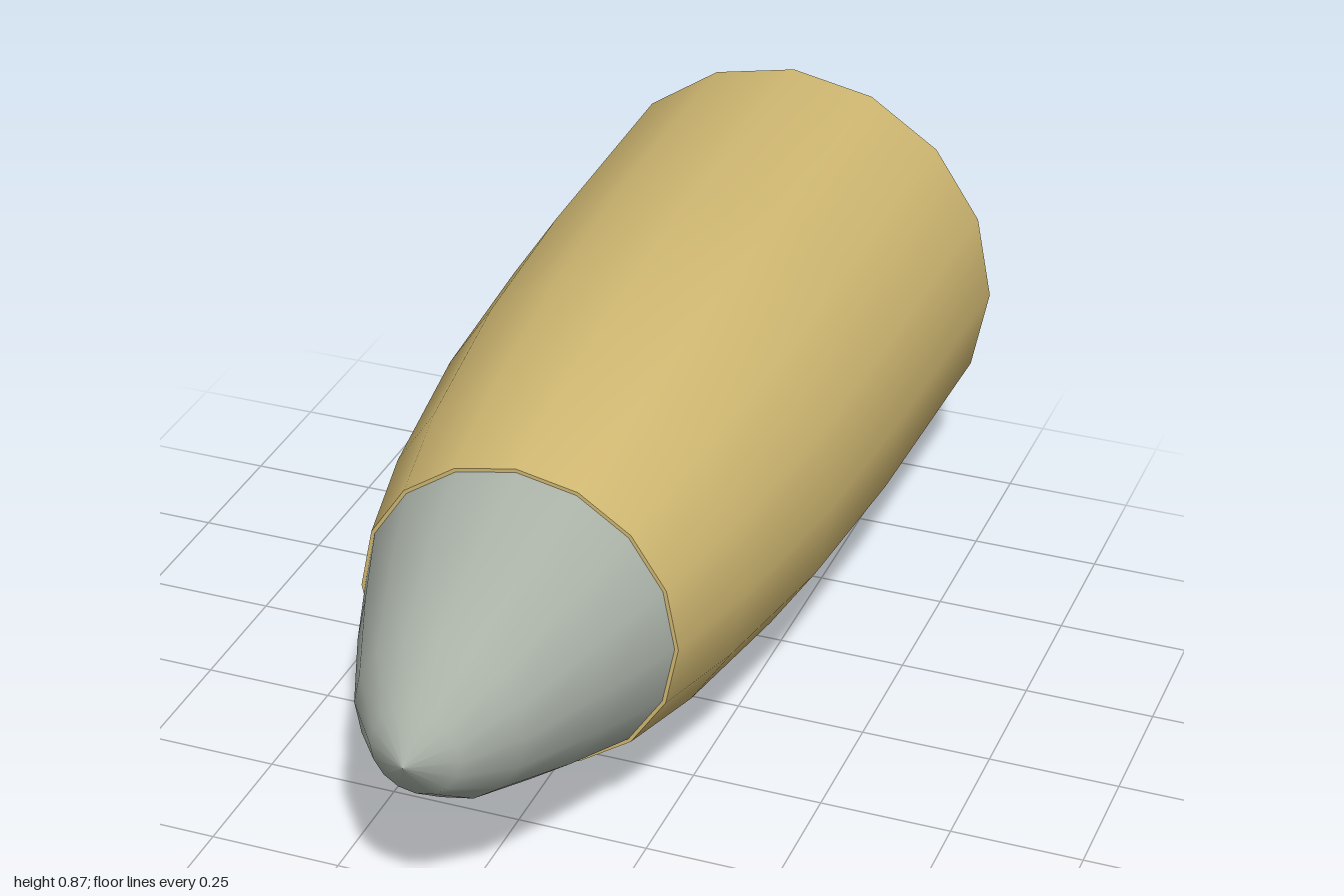
import * as THREE from 'three';

const SIDES = 16;
const AXIS_Y = 0.436;

export function createModel() {
  const group = new THREE.Group();
  group.name = 'bullet';

  const material = (name, color, side = THREE.FrontSide) =>
    Object.assign(new THREE.MeshStandardMaterial({ color, side }), { name });
  const brass = material('brass', 0xd0b872);
  const steel = material('grey steel', 0xa9b1a7);
  const brown = material('dark brown', 0x60492b);

  const add = (name, geometry, mat, z = 0) => {
    const mesh = new THREE.Mesh(geometry, mat);
    mesh.name = name;
    mesh.position.set(0, AXIS_Y, z);
    group.add(mesh);
  };

  // Turned parts: [radius, z] profile from back to front, spun about the z axis
  const turned = (profile) =>
    new THREE.LatheGeometry(profile.map(([r, z]) => new THREE.Vector2(r, z)), SIDES)
      .rotateX(Math.PI / 2);

  // Tapering case
  add('case', turned([
    [0.434, -1], [0.424, -0.45], [0.402, -0.08], [0.354, 0.27], [0.305, 0.49],
  ]), brass);

  // Flat front lip of the case around the nose
  add('caseLip', new THREE.RingGeometry(0.29, 0.305, SIDES), brass, 0.49);

  // Rounded nose
  add('nose', turned([
    [0.298, 0.49], [0.236, 0.66], [0.159, 0.845], [0.083, 0.95], [0, 1],
  ]), steel);

  // Flat back plate
  add('backPlate', new THREE.CircleGeometry(0.434, SIDES).rotateY(Math.PI), brown, -1);

  return group;
}
